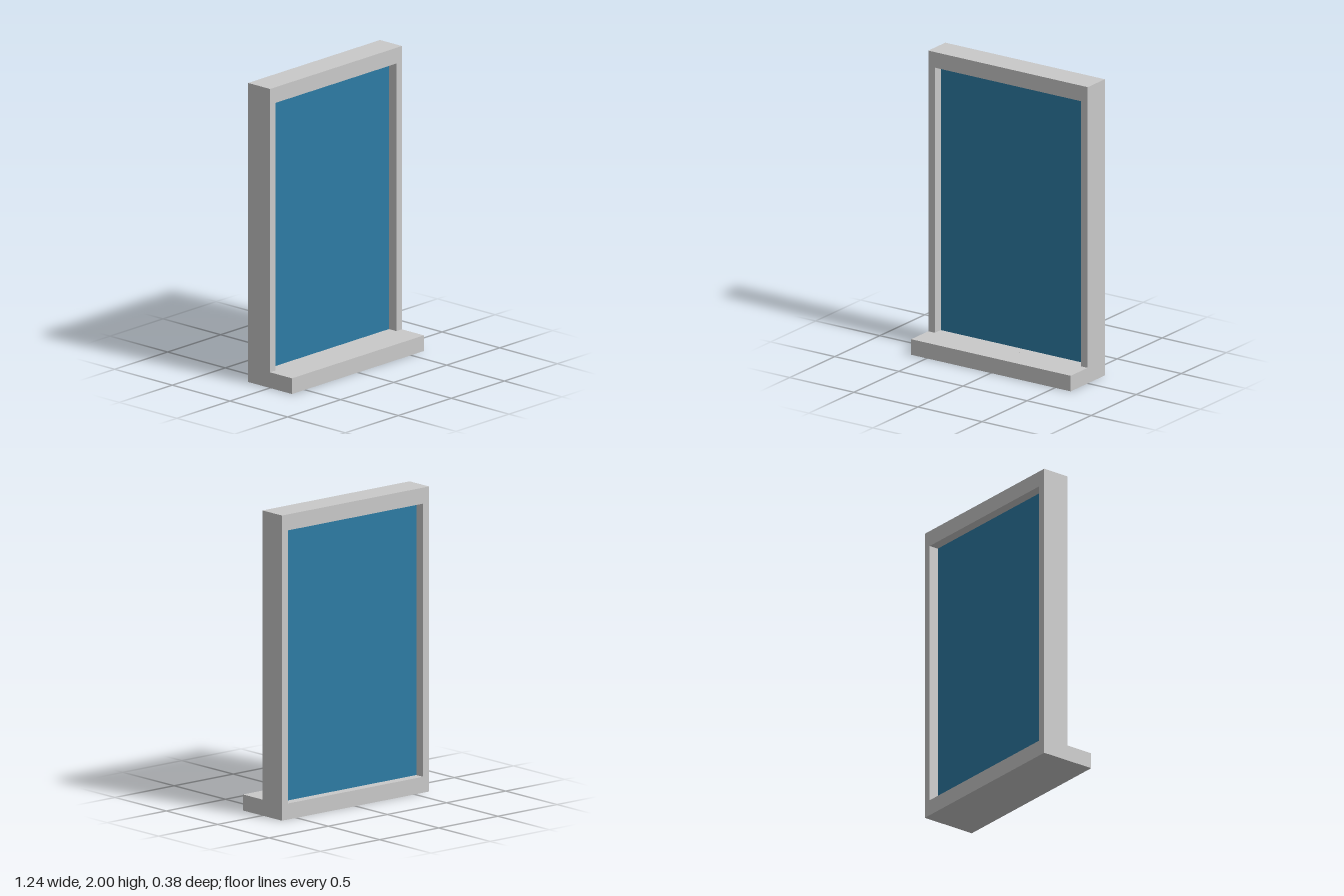
import * as THREE from 'three';

export function createModel() {
  const group = new THREE.Group();
  group.name = 'window';
  const frameMat = new THREE.MeshStandardMaterial({ color: 0xc9c9c9 });
  frameMat.name = 'light grey frame';
  const glassMat = new THREE.MeshStandardMaterial({ color: 0x2d7ba4 });
  glassMat.name = 'blue glass';

  const W = 0.622, H = 2, D = 0.19;             // half width, height, frame depth
  const openW = 0.57, low = 0.105, high = 1.895; // opening

  const rect = (path, x, y0, y1) => {
    path.moveTo(-x, y0);
    path.lineTo(x, y0);
    path.lineTo(x, y1);
    path.lineTo(-x, y1);
    path.closePath();
    return path;
  };
  const add = (name, geometry, material, y, z) => {
    const mesh = new THREE.Mesh(geometry, material);
    mesh.name = name;
    mesh.position.set(0, y, z);
    group.add(mesh);
  };

  // Surround with a rectangular opening
  const outline = rect(new THREE.Shape(), W, 0, H);
  outline.holes.push(rect(new THREE.Path(), openW, low, high));
  add('frame', new THREE.ExtrudeGeometry(outline, { depth: D, bevelEnabled: false }), frameMat, 0, -D);

  // Ledge projecting from the front, flush with the opening's lower edge
  add('sill', new THREE.BoxGeometry(W * 2, low, D), frameMat, low / 2, D / 2);

  // Pane set midway through the frame
  add('glassPane', new THREE.BoxGeometry(openW * 2, high - low, 0.06), glassMat, (low + high) / 2, -D / 2);

  return group;
}
